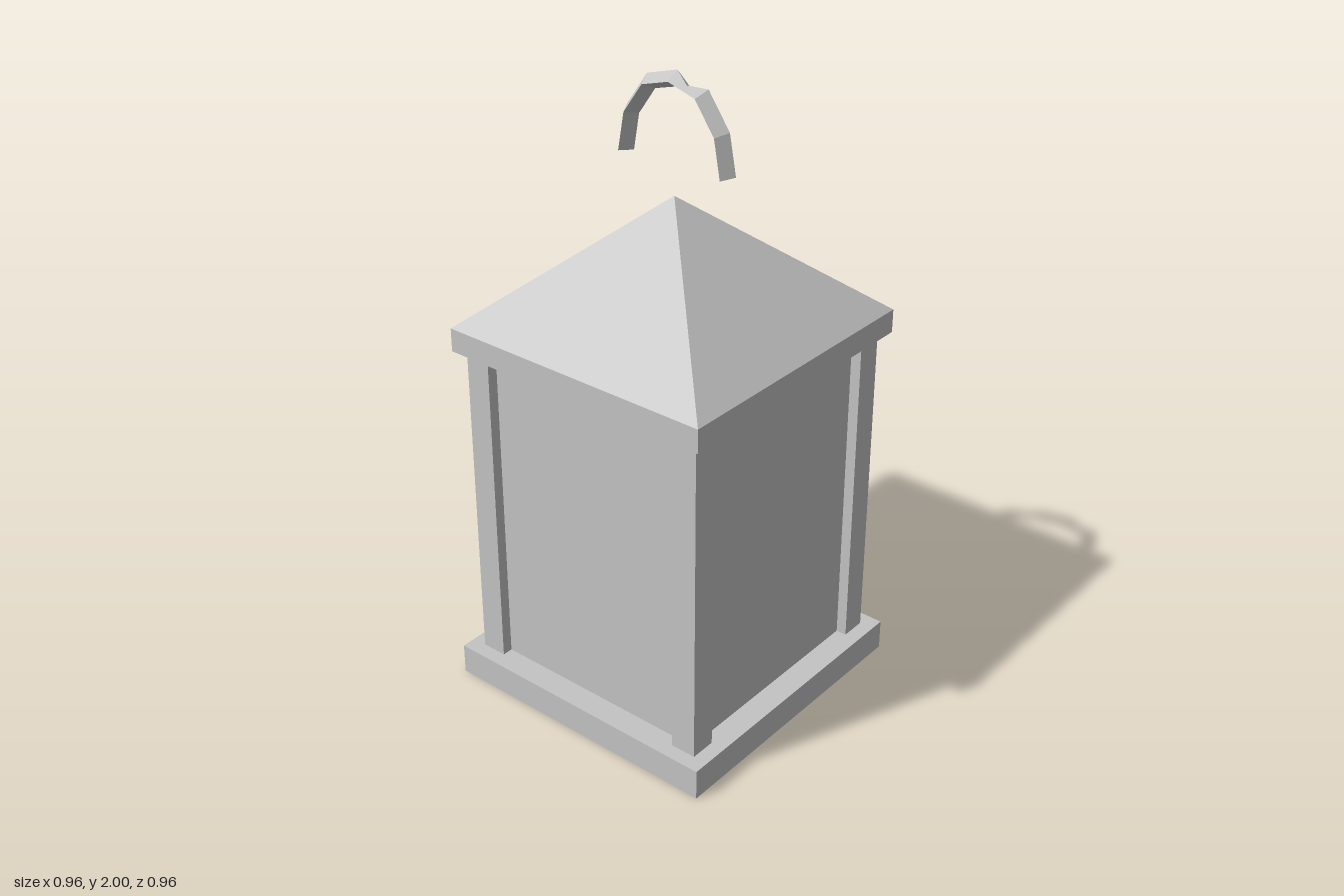
import * as THREE from 'three';

export function createModel() {
  const group = new THREE.Group();
  group.name = 'lantern';
  const grey = new THREE.MeshStandardMaterial({ color: 0xc4c4c4, flatShading: true, side: THREE.DoubleSide });
  grey.name = 'light grey';

  const add = (name, geometry, x = 0, y = 0, z = 0) => {
    const mesh = new THREE.Mesh(geometry, grey);
    mesh.name = name;
    mesh.position.set(x, y, z);
    group.add(mesh);
    return mesh;
  };
  const box = (name, w, y0, y1, x = 0, z = 0) =>
    add(name, new THREE.BoxGeometry(w, y1 - y0, w), x, (y0 + y1) / 2, z);

  // Base slab, paned body and eaves
  box('base', 0.96, 0, 0.1);
  box('panes', 0.795, 0.1, 1.165);
  box('eaves', 0.925, 1.165, 1.24);

  // Corner posts
  for (const x of [-0.39, 0.39]) {
    for (const z of [-0.39, 0.39]) box('cornerPost', 0.084, 0.1, 1.165, x, z);
  }

  // Four-sided pyramid roof
  const roof = new THREE.ConeGeometry(0.4625 * Math.SQRT2, 0.39, 4, 1);
  roof.rotateY(Math.PI / 4);
  add('roof', roof, 0, 1.435, 0);

  // Carrying handle: triangular bar swept along an arch
  const half = [[-0.185, 1.73], [-0.163, 1.85], [-0.095, 1.947]];
  const path = [...half, [0, 1.975], ...half.map(([x, y]) => [-x, y]).reverse()];
  const r = 0.028;
  const rings = path.map(([x, y], i) => {
    const a = path[Math.max(i - 1, 0)], b = path[Math.min(i + 1, path.length - 1)];
    const length = Math.hypot(b[0] - a[0], b[1] - a[1]);
    const nx = -(b[1] - a[1]) / length, ny = (b[0] - a[0]) / length;
    // the bar twists over just past the crown
    const w = r * 0.866 * (i > 3 ? -1 : 1);
    return [
      [x + nx * w, y + ny * w, -r / 2],
      [x, y, r],
      [x - nx * w, y - ny * w, -r / 2],
    ];
  });
  const points = [];
  for (let i = 0; i < rings.length - 1; i++) {
    for (let j = 0; j < 3; j++) {
      const k = (j + 1) % 3;
      const a = rings[i][j], b = rings[i][k], c = rings[i + 1][k], d = rings[i + 1][j];
      // the second half is mirrored, so its corners run the other way
      if (i < 3) points.push(a, b, c, a, c, d);
      else points.push(a, c, b, a, d, c);
    }
  }
  const last = rings[rings.length - 1];
  points.push(rings[0][0], rings[0][2], rings[0][1], last[0], last[2], last[1]);
  const handle = new THREE.BufferGeometry();
  handle.setAttribute('position', new THREE.Float32BufferAttribute(points.flat(), 3));
  handle.computeVertexNormals();
  add('handle', handle);

  return group;
}
